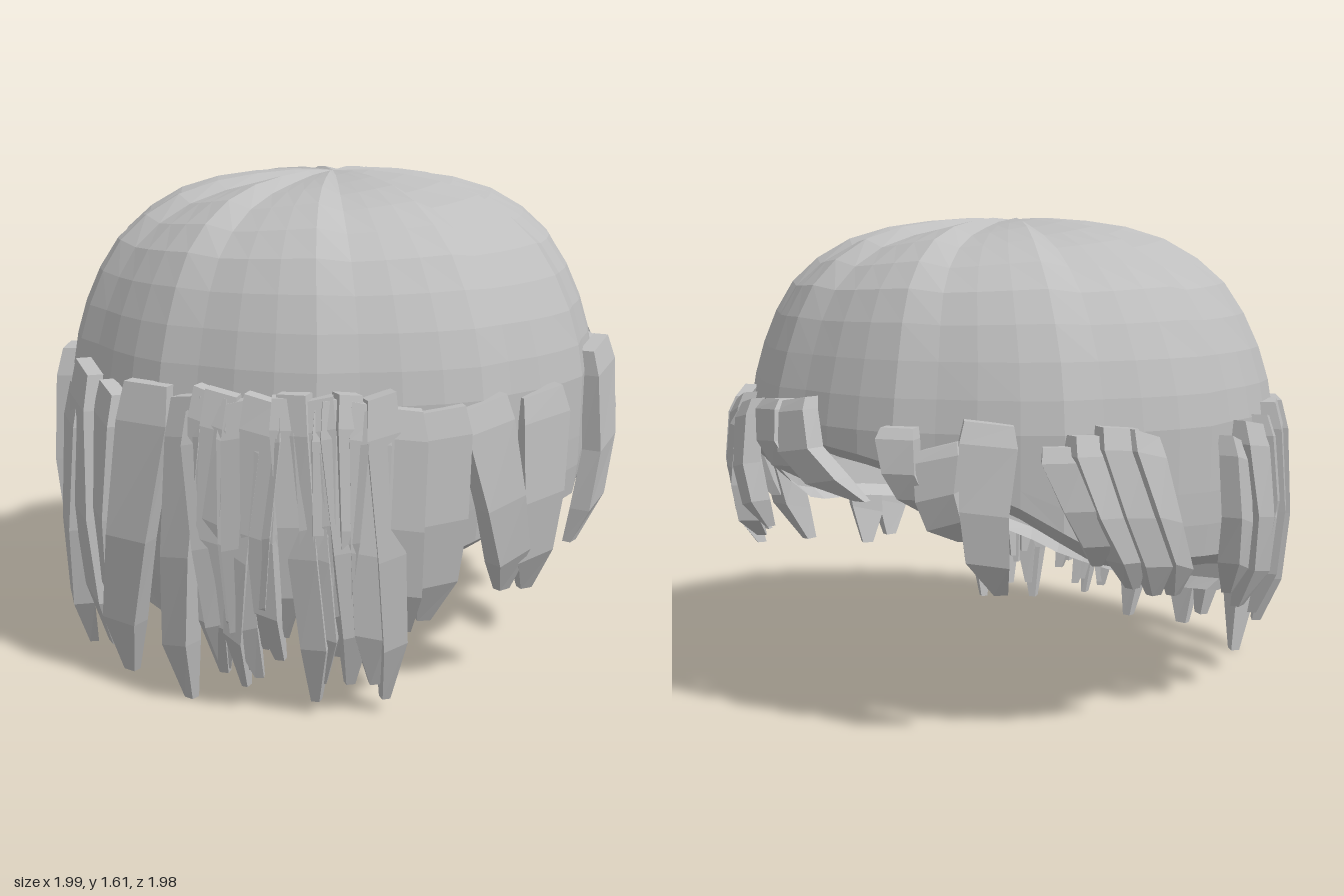
import * as THREE from 'three';

const DEG = Math.PI / 180;

// Linear interpolation through [key, value] pairs
function lookup(keys, k) {
  for (let i = 1; i < keys.length; i++) {
    const [a, va] = keys[i - 1], [b, vb] = keys[i];
    if (k <= b) return va + (vb - va) * (k - a) / (b - a);
  }
  return keys[keys.length - 1][1];
}

function seeded(seed) {
  return () => (seed = (seed * 16807) % 2147483647) / 2147483647;
}

function flat(geometry) {
  const g = geometry.toNonIndexed();
  g.computeVertexNormals();
  return g;
}

// Hairline height by angle from the front: low over the face, high at the nape
const hairline = [[0, 0.19], [30, 0.25], [60, 0.42], [75, 0.5], [90, 0.53], [112, 0.55], [135, 0.76], [160, 0.86], [180, 0.89]];
// Crown profile: radius and height
const crown = [[0, 1.61], [0.14, 1.615], [0.27, 1.605], [0.4, 1.585], [0.53, 1.545], [0.645, 1.48], [0.74, 1.4], [0.81, 1.3], [0.865, 1.19], [0.9, 1.08], [0.917, 0.98]];
// Radius below the crown by height
const sideRadius = [[0.15, 0.8], [0.4, 0.87], [0.7, 0.913], [0.98, 0.917]];

// Hollow cap: a sphere grid reshaped to the crown, the slanted hairline and an inward lip
function capGeometry() {
  const cols = 44, lower = 5, rows = crown.length - 1 + lower;
  const g = new THREE.SphereGeometry(1, cols, rows, 0, Math.PI * 2, 0, 3);
  const p = g.attributes.position;
  for (let i = 0; i < p.count; i++) {
    const row = Math.floor(i / (cols + 1)), col = (i % (cols + 1)) % cols;
    const az = col / cols * Math.PI * 2 - Math.PI / 2;
    const fromFront = Math.acos(THREE.MathUtils.clamp(Math.cos(az), -1, 1)) / DEG;
    // Eleven overlapping pleats: one steep column, three gently rising ones
    const pleat = [0, -1, -0.7, -0.35][col % 4];
    let r, y, fade = 0;
    if (row < crown.length) {
      [r, y] = crown[row];
      fade = Math.sin(Math.min(r / 0.88, 1) * Math.PI);
      y += fade * 0.028 * pleat;
    } else {
      const rim = lookup(hairline, fromFront);
      const t = Math.min((row - crown.length + 1) / (lower - 1), 1);
      y = 0.98 + (rim + 0.04 - 0.98) * t;
      r = lookup(sideRadius, y);
      if (row === rows) { r *= 0.94; y = rim; }
    }
    r *= 1.004 + 0.024 * pleat;
    // Slightly fuller at the front and back of the crown
    const x = Math.sin(az) * r, z = Math.cos(az) * r;
    p.setXYZ(i, x, y, z * (0.975 + (z < 0 ? 0.1 : 0.06) * fade));
  }
  return flat(g);
}

// Lock of hair: a box in five rings that tapers, bends and follows the cap
function lockGeometry([angle, top, tip, width, lean], rand) {
  const g = new THREE.BoxGeometry(1, 1, 1, 1, 4, 1);
  const p = g.attributes.position;
  const widths = [0.85, 1, 0.85, 0.75, 0.25];
  const depths = [0.05, 0.06, 0.065, 0.07, 0.03];
  const radii = [0.912, 0.93, 0.945, 0.92, 0.875];
  const heights = [0, 0.12, 0.5, 0.8, 1];
  const yaw = (rand() - 0.5) * 0.8, slope = (rand() - 0.5) * 0.07, kink = (rand() - 0.5) * 4;
  for (let i = 0; i < p.count; i++) {
    const k = Math.round((0.5 - p.getY(i)) * 4), h = heights[k];
    const w = p.getX(i) * width * widths[k], d = p.getZ(i) * depths[k];
    const az = (angle + lean * h * h + kink * Math.sin(h * h * Math.PI)) * DEG;
    const side = w * Math.cos(yaw) + d * Math.sin(yaw);
    const out = radii[k] + d * Math.cos(yaw) - w * Math.sin(yaw) * 0.8;
    const y = top + (tip - top) * h + (k < 4 ? p.getX(i) * slope : 0);
    p.setXYZ(i,
      Math.sin(az) * out + Math.cos(az) * side, y,
      Math.cos(az) * out - Math.sin(az) * side);
  }
  return flat(g);
}

// Locks: angle from the front, top height, tip height, width, lean of the tip in degrees
const fringe = [
  [-63, 1.02, 0.3, 0.15, 0], [-46, 1.0, 0.21, 0.19, -1],
  [-19, 0.94, 0.01, 0.18, -8], [-14, 1.02, 0.09, 0.19, 3], [-4, 0.98, 0.18, 0.14, -3],
  [7, 1.02, 0.03, 0.18, -11], [17, 1.0, 0.01, 0.13, -3],
];
const sides = [
  [57, 0.98, 0.27, 0.16, 2], [65, 0.97, 0.3, 0.17, -2], [74, 0.98, 0.35, 0.17, 8],
  [89, 0.98, 0.33, 0.17, 0], [-69, 0.98, 0.42, 0.13, -2], [-76, 0.97, 0.36, 0.17, 2], [-83, 0.93, 0.42, 0.13, 4],
];
const back = [
  [117, 1.06, 0.4, 0.18, -7],
  [-107, 0.98, 0.46, 0.13, 10], [-112, 1.0, 0.47, 0.14, 10], [-118, 0.98, 0.5, 0.13, 11], [-123, 0.95, 0.58, 0.12, 8],
  [-136, 1.02, 0.5, 0.17, 2], [-145, 0.95, 0.66, 0.14, 4], [-153, 1.0, 0.74, 0.12, 5],
  [175, 1.05, 0.8, 0.17, 8], [-178, 1.06, 0.76, 0.16, 15],
];

export function createModel() {
  const hair = new THREE.MeshStandardMaterial({ color: 0xbebebe, flatShading: true, side: THREE.DoubleSide });
  hair.name = 'hair grey';
  const model = new THREE.Group();
  model.name = 'hairpiece';

  const cap = new THREE.Mesh(capGeometry(), hair);
  cap.name = 'cap';
  model.add(cap);

  const rand = seeded(41);
  // Dense clump over the left brow
  const clump = [];
  for (let i = 0; i < 18; i++) {
    clump.push([20 + i * 1.95, 0.97 + rand() * 0.06, 0.05 + rand() * 0.22, 0.07 + rand() * 0.06, (rand() - 0.5) * 8]);
  }
  // Short clump at the back left
  const nape = [];
  for (let i = 0; i < 10; i++) {
    nape.push([131 + i * 3.3, 0.95 + rand() * 0.08, 0.5 + rand() * 0.24, 0.08 + rand() * 0.05, (rand() - 0.5) * 10]);
  }

  const groups = { fringe, leftBrowClump: clump, sideLocks: sides, backLocks: back, napeClump: nape };
  for (const [name, locks] of Object.entries(groups)) {
    const group = new THREE.Group();
    group.name = name;
    for (const lock of locks) {
      const mesh = new THREE.Mesh(lockGeometry(lock, rand), hair);
      mesh.name = 'lock';
      group.add(mesh);
    }
    model.add(group);
  }
  return model;
}
